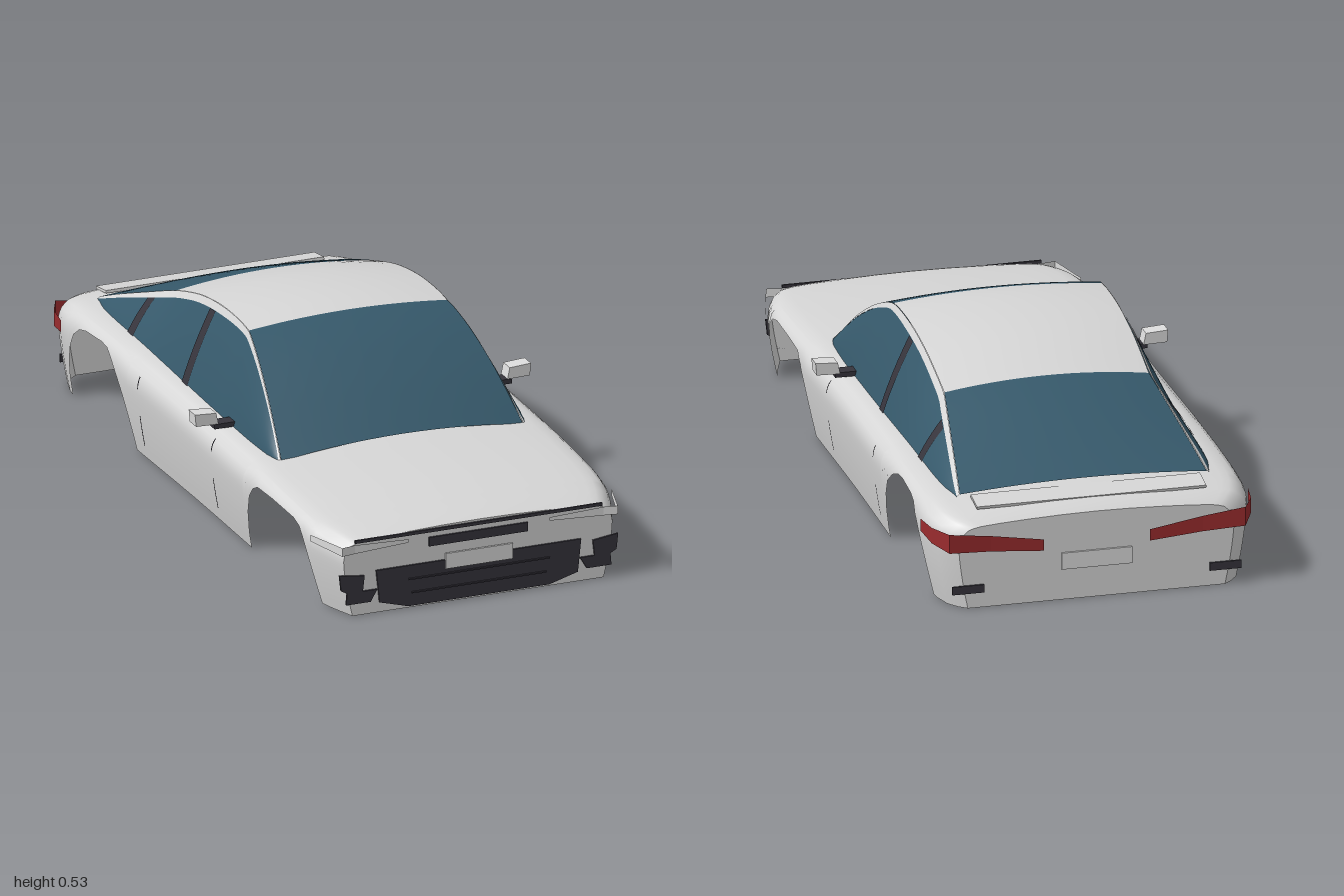
import * as THREE from 'three';

const mat = (name, color) => {
  const m = new THREE.MeshStandardMaterial({ color, side: THREE.DoubleSide });
  m.name = name;
  return m;
};

// Interpolates [position, value] rows, in rising order of position
function table(rows, smooth = true) {
  const n = rows.length;
  const slope = i => {
    const a = rows[Math.max(i - 1, 0)], b = rows[Math.min(i + 1, n - 1)];
    return (b[1] - a[1]) / (b[0] - a[0]);
  };
  return p => {
    let i = 0;
    while (i < n - 2 && p > rows[i + 1][0]) i++;
    const [a, va] = rows[i], [b, vb] = rows[i + 1], h = b - a;
    const t = Math.min(Math.max((p - a) / h, 0), 1);
    if (!smooth) return va + (vb - va) * t;
    const t2 = t * t, t3 = t2 * t;
    return va * (2 * t3 - 3 * t2 + 1) + vb * (3 * t2 - 2 * t3)
      + h * (slope(i) * (t3 - 2 * t2 + t) + slope(i + 1) * (t3 - t2));
  };
}

// Surface from a rule point(i, j) -> [x, y, z]
function grid(nu, nv, point, flat = false) {
  const pos = [], idx = [];
  for (let i = 0; i <= nu; i++) for (let j = 0; j <= nv; j++) pos.push(...point(i, j));
  for (let i = 0; i < nu; i++) for (let j = 0; j < nv; j++) {
    const a = i * (nv + 1) + j, b = a + nv + 1;
    idx.push(a, b, a + 1, b, b + 1, a + 1);
  }
  let g = new THREE.BufferGeometry();
  g.setAttribute('position', new THREE.Float32BufferAttribute(pos, 3));
  g.setIndex(idx);
  if (flat) g = g.toNonIndexed();
  g.computeVertexNormals();
  return g;
}

// Body: height, half width, wheel-arch cut and section shape
const top = table([[-0.98, 0.25], [-0.96, 0.263], [-0.9, 0.28], [-0.8, 0.291], [-0.6, 0.297], [-0.3, 0.297],
  [-0.1, 0.293], [0.2, 0.285], [0.45, 0.278], [0.7, 0.264], [0.86, 0.25], [0.95, 0.237], [0.98, 0.228]]);
const width = table([[-0.98, 0.39], [-0.96, 0.415], [-0.93, 0.438], [-0.88, 0.453], [-0.8, 0.459], [-0.5, 0.459],
  [0, 0.453], [0.4, 0.456], [0.7, 0.456], [0.83, 0.447], [0.9, 0.43], [0.98, 0.4]]);
const archRows = [[-0.98, 0], [-0.96, 0], [-0.93, 0], [-0.88, 0], [-0.85, 0], [-0.84, 0.06], [-0.825, 0.115], [-0.8, 0.17],
  [-0.77, 0.212], [-0.74, 0.235], [-0.7, 0.244], [-0.6, 0.25], [-0.56, 0.248], [-0.52, 0.232], [-0.48, 0.2],
  [-0.445, 0.15], [-0.42, 0.09], [-0.405, 0.035], [-0.4, 0], [-0.3, 0], [-0.15, 0], [0, 0], [0.15, 0], [0.3, 0],
  [0.4, 0], [0.407, 0.05], [0.425, 0.12], [0.45, 0.175], [0.475, 0.205], [0.5, 0.218], [0.6, 0.22], [0.74, 0.215],
  [0.78, 0.205], [0.81, 0.18], [0.835, 0.12], [0.85, 0.06], [0.86, 0], [0.9, 0], [0.93, 0], [0.96, 0], [0.98, 0]];
const flank = table([[0, 0.935], [0.2, 0.96], [0.45, 0.985], [0.7, 1], [0.8, 0.99], [0.86, 0.968], [0.91, 0.93]]);
const deck = [[0.89, 0.93], [0.84, 0.945], [0.7, 0.963], [0.5, 0.98], [0.25, 0.995], [0, 1]];
const SIDE = 14, HALF = SIDE + deck.length;
const sideX = (y, z) => width(z) * flank(y / top(z));

// Point j of the section at z, from the left sill over the deck to the right sill
function section(z, low, j) {
  const s = j <= HALF ? 1 : -1, k = j <= HALF ? j : 2 * HALF - j;
  const T = top(z), w = width(z);
  if (k <= SIDE) {
    const q = low / T + (0.91 - low / T) * k / SIDE;
    return [s * w * flank(q), T * q, z];
  }
  const [x, q] = deck[k - SIDE - 1];
  return [s * w * x, T * q, z];
}

// Greenhouse: centre line, roof edge and belt
const roofY = table([[-0.84, 0.296], [-0.75, 0.337], [-0.6, 0.398], [-0.45, 0.452], [-0.3, 0.497], [-0.2, 0.515],
  [-0.1, 0.525], [0, 0.526], [0.07, 0.517], [0.12, 0.502], [0.2, 0.467], [0.3, 0.405], [0.38, 0.345], [0.45, 0.288]]);
const edgeY = table([[-0.84, 0.281], [-0.75, 0.318], [-0.6, 0.375], [-0.45, 0.43], [-0.3, 0.475], [-0.2, 0.495],
  [-0.1, 0.506], [0, 0.507], [0.07, 0.5], [0.12, 0.485], [0.2, 0.448], [0.3, 0.385], [0.38, 0.322], [0.45, 0.262]]);
const edgeX = table([[-0.84, 0.35], [-0.45, 0.29], [0.07, 0.295], [0.45, 0.36]], false);
const beltX = table([[-0.84, 0.355], [-0.75, 0.38], [-0.5, 0.388], [0.2, 0.388], [0.4, 0.38], [0.45, 0.364]]);
const beltY = table([[-0.84, 0.268], [-0.3, 0.272], [0.2, 0.262], [0.45, 0.255]]);
const railDrop = table([[-0.84, 0.006], [-0.5, 0.018], [-0.1, 0.02], [0.1, 0.015], [0.45, 0.003]], false);
const railF = z => Math.min(railDrop(z) / (edgeY(z) - beltY(z)), 0.4);
const cabSide = (s, z, f, out = 0) => [
  s * (edgeX(z) + (beltX(z) - edgeX(z)) * f + 0.024 * f * (1 - f) + out),
  edgeY(z) + (beltY(z) - edgeY(z)) * f, z];

export function createModel() {
  const group = new THREE.Group();
  const paint = mat('body paint', 0xd6d6d6), glass = mat('tinted glass', 0x36596b);
  const dark = mat('dark trim', 0x36343c), red = mat('tail light red', 0x9a2c2e);
  const lamp = mat('lamp and plate', 0xdcdcdc);
  const add = (name, geo, m) => {
    const mesh = new THREE.Mesh(geo, m);
    mesh.name = name;
    group.add(mesh);
    return mesh;
  };
  const shape = pts => new THREE.Shape(pts.map(p => new THREE.Vector2(p[0], p[1])));
  // Thin plate facing along z
  const plate = (name, pts, z, m, depth = 0.006) =>
    add(name, new THREE.ExtrudeGeometry(shape(pts), { depth, bevelEnabled: false }).translate(0, 0, z), m);
  const rect = (x0, x1, y0, y1) => [[x0, y0], [x1, y0], [x1, y1], [x0, y1]];
  // Upright ribbon through rows of [x, z, low, high]
  const ribbon = (name, s, rows, m) => add(name, grid(rows.length - 1, 1,
    (i, j) => [s * rows[i][0], rows[i][2 + j], rows[i][1]], true), m);

  // Body shell with its flat nose and tail
  add('bodyShell', grid(archRows.length - 1, 2 * HALF,
    (i, j) => section(archRows[i][0], archRows[i][1], j)), paint);
  for (const [name, z] of [['nosePanel', 0.98], ['tailPanel', -0.98]]) {
    const pts = [];
    for (let j = 0; j <= 2 * HALF; j++) pts.push(section(z, 0, j));
    const g = new THREE.ShapeGeometry(shape(pts));
    if (z < 0) g.rotateY(Math.PI);
    add(name, g.translate(0, 0, z), paint);
  }

  // Windscreen, roof and rear window share one crowned surface
  for (const [name, z0, z1, m] of [['windscreen', 0.45, 0.07, glass], ['roof', 0.07, -0.45, paint],
    ['rearWindow', -0.45, -0.84, glass]]) {
    add(name, grid(16, 16, (i, j) => {
      const z = z0 + (z1 - z0) * i / 16, u = j / 8 - 1;
      return [u * edgeX(z), edgeY(z) + (roofY(z) - edgeY(z)) * (1 - u * u), z];
    }), m);
  }

  for (const s of [-1, 1]) {
    // Roof rails, side glass and pillars
    const zAt = i => 0.45 - 1.29 * i / 48;
    add('roofRail', grid(48, 1, (i, j) => cabSide(s, zAt(i), railF(zAt(i)) * j, 0.001)), paint);
    add('sideWindow', grid(48, 6, (i, j) => {
      const r = railF(zAt(i));
      return cabSide(s, zAt(i), r + (1 - r) * j / 6);
    }), glass);
    for (const [name, z] of [['centrePillar', -0.138], ['rearPillar', -0.53]]) {
      add(name, grid(2, 6, (i, j) => {
        const zz = z - 0.019 * i, r = railF(zz);
        return cabSide(s, zz, r + (1 - r) * j / 6, 0.003);
      }), dark);
    }

    // Door seams
    for (const z of [0.18, -0.327]) for (const [y0, y1] of [[0.04, 0.13], [0.21, 0.245]]) {
      add('doorSeam', grid(1, 4, (i, j) => {
        const y = y0 + (y1 - y0) * j / 4, zz = z + 0.005 * i;
        return [s * (sideX(y, zz) + 0.002), y, zz];
      }), dark);
    }

    // Door mirrors
    plate('mirrorHousing', [[0.43, 0.283], [0.497, 0.285], [0.5, 0.32], [0.437, 0.316]].map(p => [s * p[0], p[1]]),
      0.13, lamp, 0.045);
    add('mirrorArm', new THREE.BoxGeometry(0.085, 0.014, 0.04), dark).position.set(s * 0.4, 0.277, 0.157);

    // Lamps wrapping around the corners
    ribbon('headlight', s, [[0.21, 0.986, 0.193, 0.203], [0.37, 0.988, 0.185, 0.21], [0.41, 0.995, 0.185, 0.21],
      [0.448, 0.86, 0.188, 0.207]], lamp);
    ribbon('tailLight', s, [[0.15, -0.985, 0.15, 0.183], [0.3, -0.986, 0.163, 0.208], [0.42, -0.992, 0.17, 0.225],
      [0.453, -0.925, 0.18, 0.225], [0.464, -0.85, 0.19, 0.225]], red);

    // Bumper vents and rear slots
    plate('frontVent', [[0.415, 0.125], [0.34, 0.115], [0.345, 0.07], [0.302, 0.07], [0.322, 0.036], [0.395, 0.036],
      [0.392, 0.07]].map(p => [s * p[0], p[1]]).concat([[s * 0.41, 0.08]]), 0.98, dark);
    plate('rearSlot', rect(s * 0.32, s * 0.41, 0.045, 0.068), -0.987, dark);
  }

  // Nose trim
  plate('lowerGrille', [[-0.305, 0.125], [-0.295, 0.03], [-0.21, 0.006], [0.21, 0.006], [0.295, 0.03],
    [0.305, 0.125]], 0.98, dark);
  plate('grilleBarUpper', rect(-0.21, 0.21, 0.084, 0.088), 0.985, dark);
  plate('grilleBarLower', rect(-0.2, 0.2, 0.044, 0.048), 0.985, dark);
  plate('upperGrille', rect(-0.147, 0.147, 0.172, 0.198), 0.98, dark);
  plate('bonnetGap', rect(-0.368, 0.368, 0.213, 0.222), 0.98, dark);
  plate('frontPlate', rect(-0.1, 0.1, 0.1, 0.145), 0.984, lamp);

  // Tail trim
  plate('rearPlate', rect(-0.1, 0.1, 0.09, 0.138), -0.987, lamp);
  const lid = add('bootLidLip', new THREE.BoxGeometry(0.65, 0.008, 0.07), paint);
  lid.position.set(0, 0.277, -0.895);
  lid.rotation.x = -0.16;

  return group;
}
